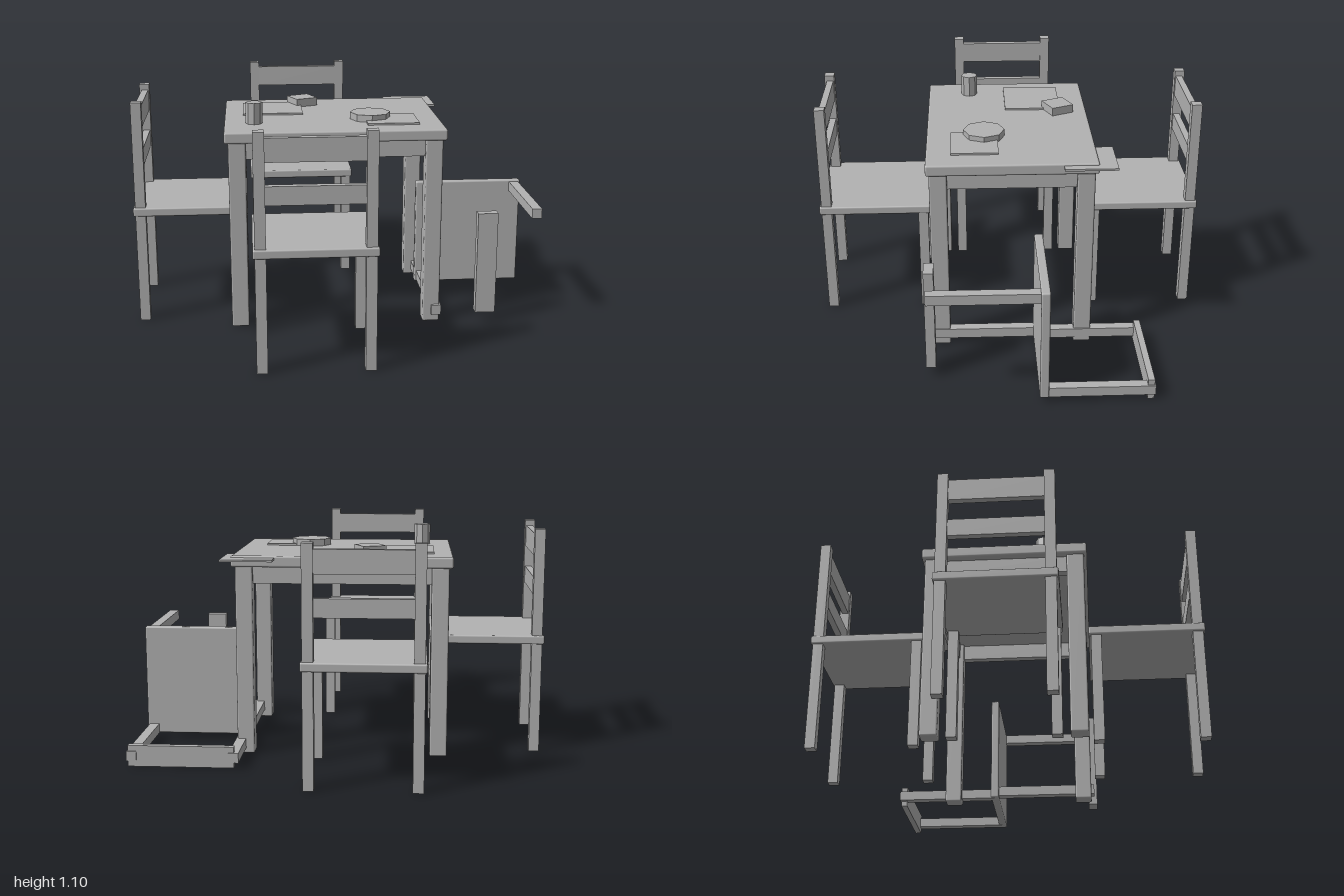
import * as THREE from 'three';
import { RoundedBoxGeometry } from 'three/addons/geometries/RoundedBoxGeometry.js';

const grey = new THREE.MeshStandardMaterial({ color: 0xb2b2b2 });
grey.name = 'plain grey';

function add(parent, name, geometry, x, y, z) {
  const mesh = new THREE.Mesh(geometry, grey);
  mesh.name = name;
  mesh.position.set(x, y, z);
  parent.add(mesh);
  return mesh;
}

// Box given by its extents on each axis; bevel softens the edges
function box(parent, name, [x0, x1], [y0, y1], [z0, z1], bevel = 0) {
  const size = [x1 - x0, y1 - y0, z1 - z0];
  const geometry = bevel ? new RoundedBoxGeometry(...size, 2, bevel) : new THREE.BoxGeometry(...size);
  return add(parent, name, geometry, (x0 + x1) / 2, (y0 + y1) / 2, (z0 + z1) / 2);
}

function group(parent, name) {
  const g = new THREE.Group();
  g.name = name;
  parent.add(g);
  return g;
}

// Upright chair with its back towards +z
function chair(parent, name, x, z, turn) {
  const g = group(parent, name);
  box(g, 'seat', [-0.277, 0.277], [0.54, 0.582], [-0.277, 0.277], 0.008);
  for (const s of [-1, 1]) {
    const span = [s * 0.243 - 0.025, s * 0.243 + 0.025];
    box(g, 'frontLeg', span, [0, 0.55], [-0.267, -0.217]);
    box(g, 'backPost', span, [0, 1.1], [0.217, 0.267]);
  }
  box(g, 'upperSlat', [-0.235, 0.235], [0.965, 1.072], [0.222, 0.255]);
  box(g, 'lowerSlat', [-0.235, 0.235], [0.775, 0.86], [0.222, 0.255]);
  g.position.set(x, 0, z);
  g.rotation.y = turn;
}

function table(parent) {
  const g = group(parent, 'table');
  box(g, 'tableTop', [-0.55, 0.51], [0.922, 0.977], [-0.402, 0.402], 0.01);
  for (const x of [-0.49, 0.45]) {
    for (const s of [-1, 1]) {
      box(g, 'tableLeg', [x - 0.042, x + 0.042], [0, 0.925], [s * 0.345 - 0.042, s * 0.345 + 0.042], 0.008);
    }
    box(g, 'sideApron', [x - 0.02, x + 0.02], [0.84, 0.925], [-0.31, 0.31]);
  }
  for (const z of [-0.345, 0.345]) box(g, 'longApron', [-0.46, 0.42], [0.84, 0.925], [z - 0.02, z + 0.02]);
}

// Broken chair lying on its back, two legs left
function fallenChair(parent) {
  const g = group(parent, 'fallenChair');
  box(g, 'seat', [0.44, 0.994], [0.027, 0.582], [-0.148, -0.106], 0.008);
  box(g, 'upperLeg', [0.935, 0.983], [0.525, 0.574], [-0.12, 0.402]);
  box(g, 'lowerLeg', [0.45, 0.498], [0.037, 0.087], [-0.12, 0.402]);
  for (const x of [0.474, 0.96]) box(g, 'backPost', [x - 0.024, x + 0.024], [0.026, 0.074], [-0.638, -0.13]);
  box(g, 'backSlat', [0.472, 0.977], [0, 0.102], [-0.633, -0.602]);
  box(g, 'looseSlat', [0.667, 0.765], [0.05, 0.56], [0.37, 0.417]);
}

// Things left on the table
function tableware(parent) {
  const g = group(parent, 'tableware');
  box(g, 'leftMat', [-0.46, -0.16], [0.974, 0.986], [-0.27, 0.01]);
  box(g, 'rightMat', [0.14, 0.392], [0.974, 0.986], [0.06, 0.285]);
  box(g, 'overhangingMat', [0.3, 0.55], [0.958, 0.968], [-0.485, -0.237]);
  box(g, 'smallBlock', [-0.21, -0.092], [0.975, 1.018], [-0.315, -0.197]).rotation.y = 0.42;
  const prism = (r, h) => new THREE.CylinderGeometry(r, r, h, 8).toNonIndexed();
  for (const [name, r, h, x, z] of [['bowl', 0.1, 0.036, 0.167, 0.125], ['cup', 0.041, 0.105, -0.405, 0.19]]) {
    const geometry = prism(r, h);
    geometry.computeVertexNormals();
    add(g, name, geometry, x, 0.975 + h / 2, z);
  }
}

export function createModel() {
  const model = new THREE.Group();
  model.name = 'diningSet';
  table(model);
  chair(model, 'frontChair', -0.15, 0.675, 0);
  chair(model, 'backChair', -0.15, -0.675, Math.PI);
  chair(model, 'sideChair', -0.722, 0, -Math.PI / 2);
  fallenChair(model);
  tableware(model);
  return model;
}
